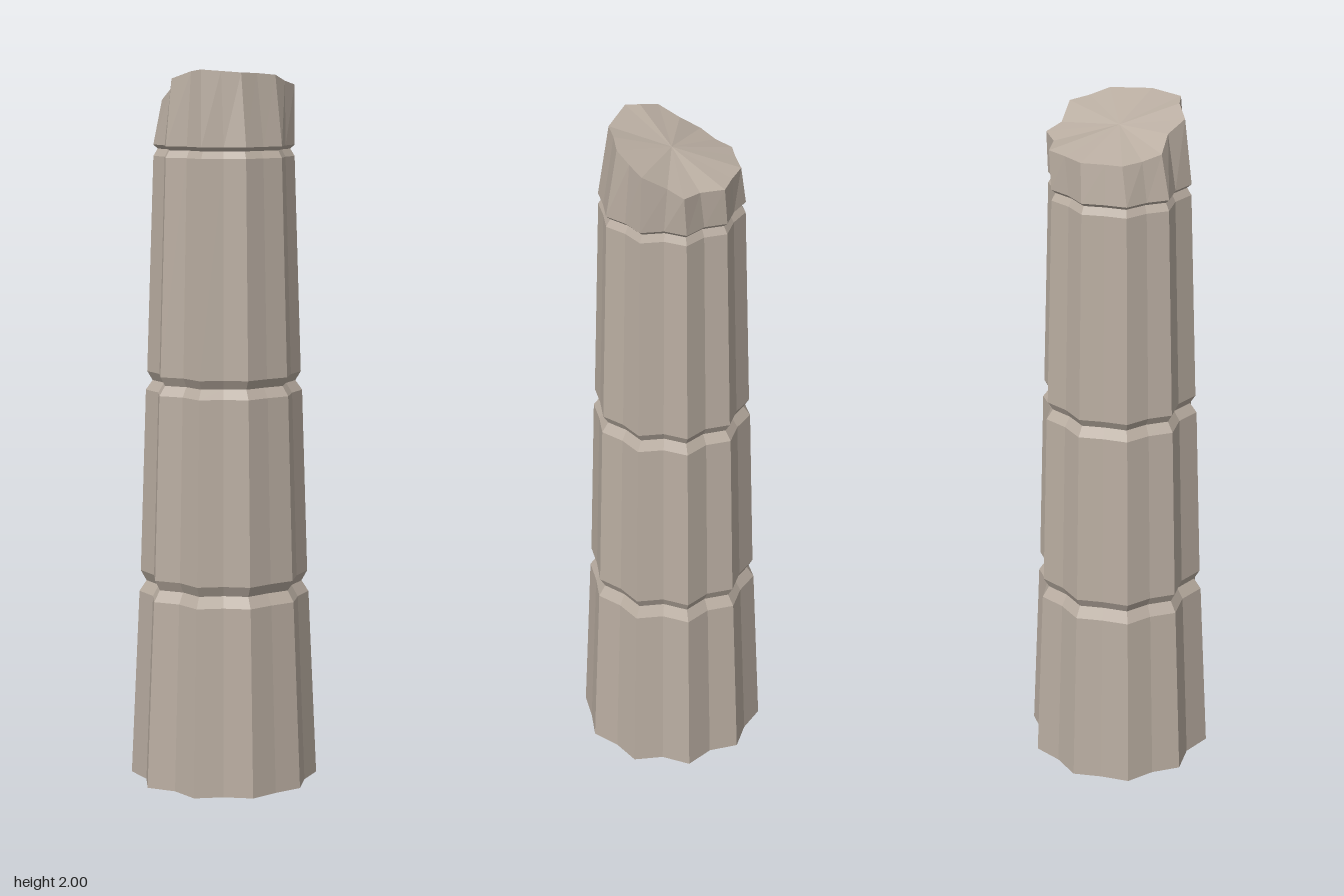
import * as THREE from 'three';

const SIDES = 20;
// Fluted outline: ten ridges with shallow valleys between, scaled to ridge radius r
const VALLEYS = [0.875, 0.91, 0.935, 0.91, 0.875];
function ring(y, r) {
  return Array.from({ length: SIDES }, (_, i) => {
    const a = (i / SIDES) * Math.PI * 2;
    const k = i % 2 ? VALLEYS[((i - 1) / 2) % 5] : 1;
    return [Math.cos(a) * r * k, y, Math.sin(a) * r * k];
  });
}

// Broken top edge, x y z, counted in the same order as the rings
const BROKEN_EDGE = [
  [0.2, 1.905, 0.008], [0.167, 1.92, 0.045], [0.16, 1.957, 0.11], [0.11, 1.968, 0.132],
  [0.06, 1.985, 0.155], [0, 1.99, 0.152], [-0.055, 1.992, 0.155], [-0.1, 1.996, 0.125],
  [-0.145, 2.0, 0.095], [-0.149, 1.995, 0.055], [-0.175, 1.975, 0], [-0.14, 1.95, -0.05],
  [-0.135, 1.915, -0.105], [-0.09, 1.903, -0.135], [-0.045, 1.9, -0.17], [0, 1.9, -0.168],
  [0.065, 1.9, -0.17], [0.115, 1.9, -0.135], [0.165, 1.9, -0.105], [0.168, 1.9, -0.04],
];

function meshFrom(name, positions, material) {
  const g = new THREE.BufferGeometry();
  g.setAttribute('position', new THREE.Float32BufferAttribute(positions, 3));
  g.computeVertexNormals(); // unshared corners give flat facets
  const mesh = new THREE.Mesh(g, material);
  mesh.name = name;
  return mesh;
}

// Open wall through a stack of rings
function wall(name, rings, material) {
  const p = [];
  for (let k = 0; k < rings.length - 1; k++) {
    for (let i = 0; i < SIDES; i++) {
      const j = (i + 1) % SIDES;
      const [a, b, c, d] = [rings[k][i], rings[k][j], rings[k + 1][i], rings[k + 1][j]];
      p.push(...b, ...a, ...c, ...b, ...c, ...d);
    }
  }
  return meshFrom(name, p, material);
}

export function createModel() {
  const group = new THREE.Group();
  group.name = 'brokenColumn';
  const stone = new THREE.MeshStandardMaterial({ color: 0xb9ada1, side: THREE.DoubleSide, flatShading: true });
  stone.name = 'stone';

  // Tapering drums: bottom y, bottom radius, top y, top radius
  const drums = [
    [0, 0.265, 0.532, 0.24],
    [0.592, 0.236, 1.11, 0.219],
    [1.162, 0.215, 1.762, 0.195],
  ];
  drums.forEach(([y0, r0, y1, r1], i) =>
    group.add(wall('drum' + (i + 1), [ring(y0, r0), ring(y1, r1)], stone)));

  // V-shaped grooves between the drums: lower lip, neck, upper lip
  const grooves = [
    [0.532, 0.24, 0.563, 0.22, 0.592, 0.236],
    [1.11, 0.219, 1.137, 0.2, 1.162, 0.215],
    [1.762, 0.195, 1.782, 0.183, 1.793, 0.195],
  ];
  grooves.forEach(([y0, r0, y1, r1, y2, r2], i) =>
    group.add(wall('groove' + (i + 1), [ring(y0, r0), ring(y1, r1), ring(y2, r2)], stone)));

  // Snapped-off stump of the last drum
  group.add(wall('brokenDrum', [ring(1.793, 0.195), BROKEN_EDGE], stone));

  // Sloping break surface
  const cap = [];
  BROKEN_EDGE.forEach((p, i) =>
    cap.push(0, 1.945, 0, ...BROKEN_EDGE[(i + 1) % SIDES], ...p));
  group.add(meshFrom('breakSurface', cap, stone));

  return group;
}
